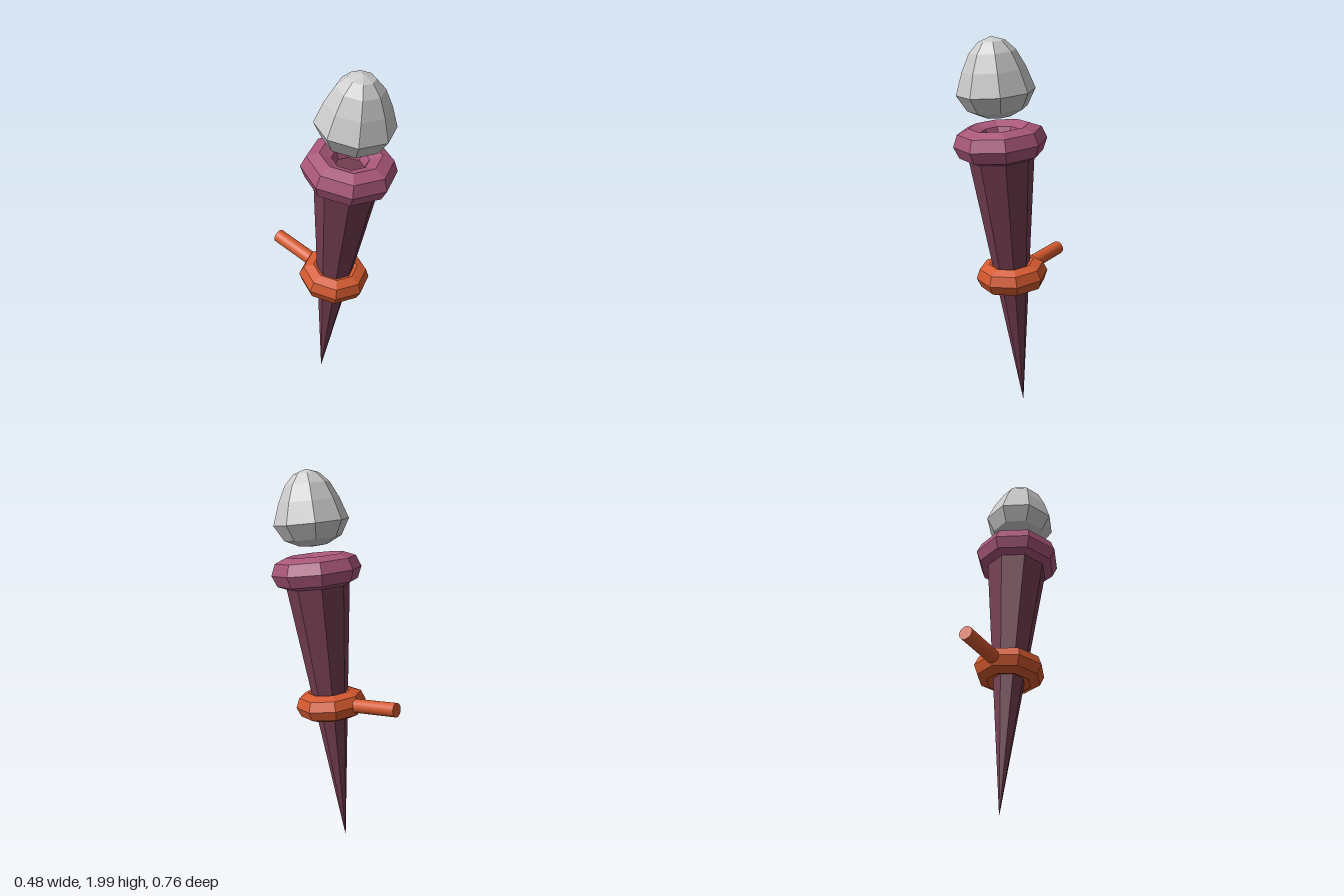
import * as THREE from 'three';

const SIDES = 8;

export function createModel() {
  const model = new THREE.Group();
  model.name = 'wallTorch';

  const flat = (color) => new THREE.MeshStandardMaterial({ color, flatShading: true });
  const orange = 0xd4592f;

  const add = (name, geometry, material) => {
    const mesh = new THREE.Mesh(geometry, material);
    mesh.name = name;
    model.add(mesh);
    return mesh;
  };

  // Faceted ring lying around the torch axis
  const addRing = (name, radius, tube, height, color) => {
    const geometry = new THREE.TorusGeometry(radius, tube, 8, SIDES).rotateX(Math.PI / 2);
    add(name, geometry, flat(color)).position.y = height;
  };

  // Tapered shaft, pointed at the bottom
  const shaftLength = 1.5;
  const shaft = new THREE.CylinderGeometry(0.178, 0.001, shaftLength, SIDES);
  add('shaft', shaft, flat(0x743e50)).position.y = shaftLength / 2;

  // Rim at the top and mounting band lower down
  addRing('rim', 0.153, 0.085, 1.487, 0xa85678);
  addRing('mountingBand', 0.118, 0.072, 0.767, orange);

  // Round peg that reaches back from the band
  const peg = new THREE.CylinderGeometry(0.037, 0.037, 0.325, 20).rotateX(Math.PI / 2);
  add('wallPeg', peg, new THREE.MeshStandardMaterial({ color: orange }))
    .position.set(0, 0.767, -0.2625);

  // Faceted flame floating above the rim
  const profile = [
    [0, 1.615], [0.075, 1.622], [0.15, 1.658], [0.197, 1.74],
    [0.158, 1.85], [0.115, 1.935], [0.065, 1.985], [0, 2.007],
  ].map(([r, y]) => new THREE.Vector2(r, y));
  add('flame', new THREE.LatheGeometry(profile, SIDES), flat(0xcccccc));

  // Whole torch leans forward from its tip
  model.rotation.x = 0.13;
  model.position.set(0, 0.005, -0.055);

  const root = new THREE.Group();
  root.name = 'torch';
  root.add(model);
  return root;
}
